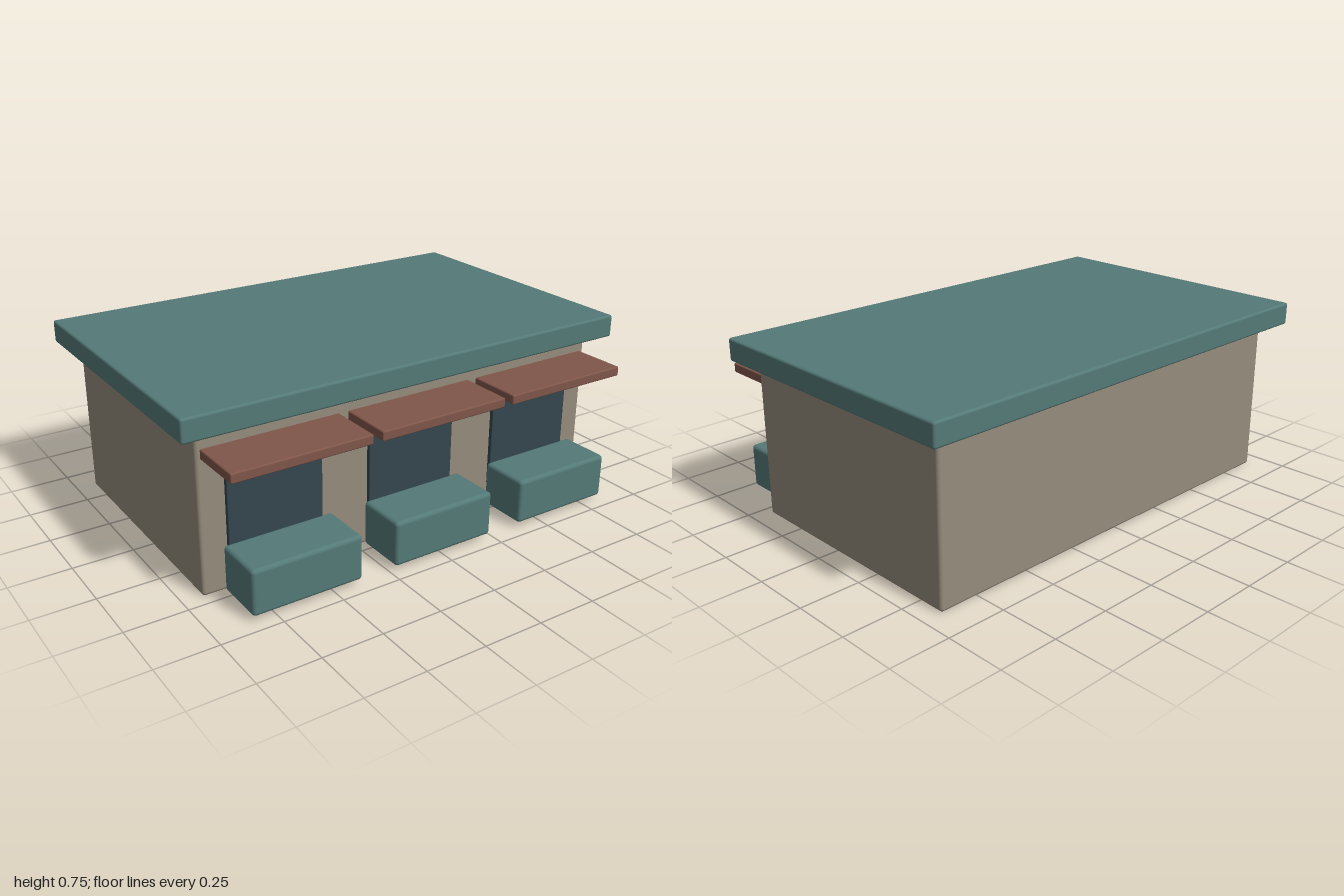
import * as THREE from 'three';
import { RoundedBoxGeometry } from 'three/addons/geometries/RoundedBoxGeometry.js';

const material = (color) => new THREE.MeshStandardMaterial({ color });

// Softly rounded block given by its min and max corners
function block(name, [x0, y0, z0], [x1, y1, z1], radius, mat) {
  const geometry = new RoundedBoxGeometry(x1 - x0, y1 - y0, z1 - z0, 3, radius);
  const mesh = new THREE.Mesh(geometry, mat);
  mesh.name = name;
  mesh.position.set((x0 + x1) / 2, (y0 + y1) / 2, (z0 + z1) / 2);
  return mesh;
}

export function createModel() {
  const model = new THREE.Group();
  model.name = 'shopRow';

  const wall = material(0x958c7c);
  const teal = material(0x547a78);
  const glass = material(0x34464e);
  const rust = material(0x80564a);

  // Main building and overhanging flat roof
  model.add(block('building', [-0.92, 0, -0.62], [0.92, 0.67, 0.455], 0.014, wall));
  model.add(block('roof', [-1, 0.66, -0.7], [1, 0.755, 0.53], 0.01, teal));

  // Three shop bays: dark opening, awning and counter
  for (let i = -1; i <= 1; i++) {
    const bay = new THREE.Group();
    bay.name = ['rightBay', 'middleBay', 'leftBay'][i + 1];
    bay.position.x = i * 0.613;
    bay.add(block('opening', [-0.2, 0.095, 0.44], [0.2, 0.525, 0.472], 0.004, glass));
    bay.add(block('awning', [-0.287, 0.552, 0.43], [0.287, 0.592, 0.682], 0.006, rust));
    bay.add(block('counter', [-0.231, 0.02, 0.482], [0.231, 0.208, 0.7], 0.016, teal));
    model.add(bay);
  }
  return model;
}
